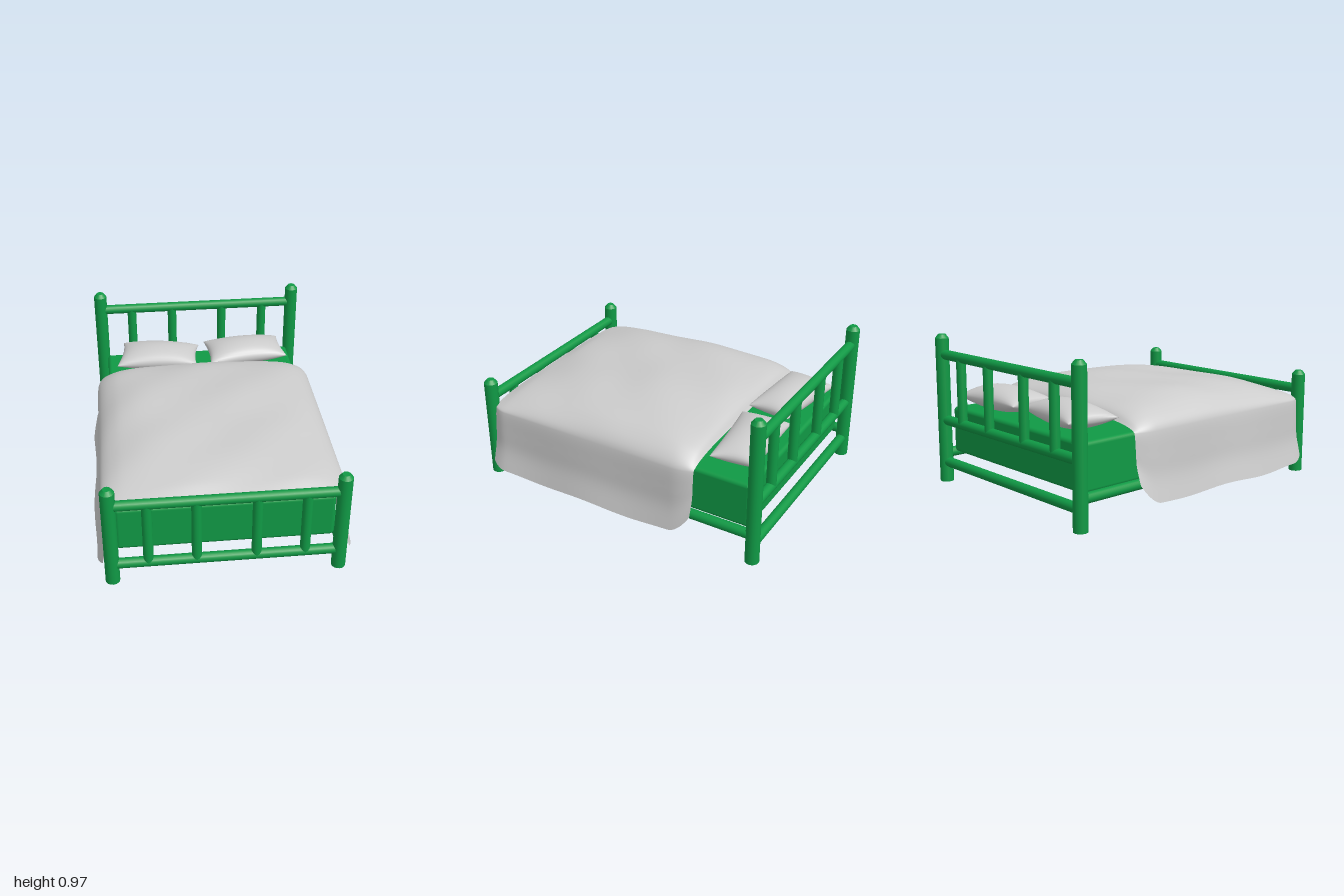
import * as THREE from 'three';
import { mergeVertices } from 'three/addons/utils/BufferGeometryUtils.js';
import { RoundedBoxGeometry } from 'three/addons/geometries/RoundedBoxGeometry.js';

const green = new THREE.MeshStandardMaterial({ color: 0x109945 });
const cloth = new THREE.MeshStandardMaterial({ color: 0xcccccc, side: THREE.DoubleSide });

function add(parent, name, geometry, material) {
  const mesh = new THREE.Mesh(geometry, material);
  mesh.name = name;
  parent.add(mesh);
  return mesh;
}

// Round bar between two points
function bar(parent, name, a, b, radius) {
  const from = new THREE.Vector3(...a), to = new THREE.Vector3(...b);
  const dir = to.clone().sub(from);
  const mesh = add(parent, name, new THREE.CylinderGeometry(radius, radius, dir.length(), 16), green);
  mesh.position.copy(from).add(to).multiplyScalar(0.5);
  mesh.quaternion.setFromUnitVectors(new THREE.Vector3(0, 1, 0), dir.normalize());
}

// Smooth surface from fn(u, v) -> [x, y, z], u and v in 0..1
function surface(nu, nv, fn) {
  const positions = [], index = [];
  for (let i = 0; i <= nu; i++)
    for (let j = 0; j <= nv; j++) positions.push(...fn(i / nu, j / nv));
  for (let i = 0; i < nu; i++)
    for (let j = 0; j < nv; j++) {
      const a = i * (nv + 1) + j, b = a + nv + 1;
      index.push(a, b, a + 1, b, b + 1, a + 1);
    }
  let geo = new THREE.BufferGeometry();
  geo.setAttribute('position', new THREE.Float32BufferAttribute(positions, 3));
  geo.setIndex(index);
  geo = mergeVertices(geo, 1e-4);
  geo.computeVertexNormals();
  return geo;
}

// Upright post with a chamfered top
function post(parent, x, z, height) {
  const r = 0.044;
  const body = add(parent, 'post', new THREE.CylinderGeometry(r, r, height - 0.025, 16), green);
  body.position.set(x, (height - 0.025) / 2, z);
  const cap = add(parent, 'postCap', new THREE.CylinderGeometry(0.024, r, 0.025, 16), green);
  cap.position.set(x, height - 0.0125, z);
}

// Head or foot end: two posts, rails and four spindles
function endFrame(name, z, height, rails, spindleBottom, spindleTop) {
  const group = new THREE.Group();
  group.name = name;
  for (const x of [-0.69, 0.69]) post(group, x, z, height);
  for (const y of rails) bar(group, 'rail', [-0.68, y, z], [0.68, y, z], 0.032);
  for (const x of [-0.47, -0.18, 0.18, 0.475])
    bar(group, 'spindle', [x, spindleBottom, z], [x, spindleTop, z], 0.031);
  return group;
}

// Pillow stretched between four corners: back left, back right, front right, front left
function pillow(corners) {
  const mix = THREE.MathUtils.lerp;
  return surface(24, 32, (u, v) => {
    const s = -Math.cos(u * Math.PI), angle = v * Math.PI * 2;
    const w = Math.cos(angle);
    const p = (s + 1) / 2, q = (w + 1) / 2;
    const [bl, br, fr, fl] = corners;
    const at = k => mix(mix(bl[k], br[k], p), mix(fl[k], fr[k], p), q);
    // edges pull in slightly between the corners
    const x = at(0) - 0.018 * s * (1 - w * w);
    const z = at(1) - 0.012 * w * (1 - s * s);
    const thick = 0.083 * Math.pow(Math.max(0, 1 - s * s), 0.45);
    return [x, 0.58 + thick * Math.sin(angle), z];
  });
}

// Blanket: domed over the mattress, hanging down both sides
function blanket() {
  const vec = ([x, y]) => new THREE.Vector3(x, y, 0);
  // ridge height along the bed: [z, y]
  const ridge = new THREE.CatmullRomCurve3([[-0.56, 0.56], [-0.52, 0.61], [-0.42, 0.65], [-0.25, 0.675],
    [0, 0.685], [0.25, 0.67], [0.45, 0.655], [0.65, 0.63], [0.82, 0.59], [0.92, 0.55]].map(vec));
  // half section: [x, k]; k 1 is the ridge, 0 the shoulder, -1 the hem
  const half = [[0.25, 0.98], [0.45, 0.9], [0.58, 0.74], [0.66, 0.52], [0.715, 0.24],
    [0.738, -0.05], [0.745, -0.35], [0.752, -0.65], [0.785, -1]];
  const section = new THREE.CatmullRomCurve3([
    ...half.map(([x, k]) => [-x, k]).reverse(), [0, 1], ...half].map(vec));
  return surface(48, 80, (u, v) => {
    const r = ridge.getPoint(u), s = section.getPoint(v);
    const head = Math.max(0, 1 - (r.x + 0.56) / 0.14), foot = Math.max(0, 1 - (0.92 - r.x) / 0.1);
    const hem = 0.073 + 0.008 * Math.sin(r.x * 9) + 0.12 * head ** 2 + 0.035 * foot ** 2;
    const down = Math.max(0, -s.y);
    const k = s.y;
    let y = k > 0 ? 0.5 + (r.y - 0.5) * k : 0.5 + (0.5 - hem) * k;
    if (k > 0) y += 0.008 * k * (1 - head) * (1 - foot) * Math.sin(s.x * 9 + r.x * 4) * Math.cos(r.x * 7);
    const pinch = 1 - 0.045 * (head ** 2 + foot ** 2);
    const x = s.x * pinch + Math.sign(s.x) * 0.008 * down * Math.sin(r.x * 7 + s.x);
    return [x, y, r.x + 0.01 * down * foot];
  });
}

export function createModel() {
  const bed = new THREE.Group();
  bed.name = 'bed';

  // Frame
  bed.add(endFrame('footboard', 0.955, 0.69, [0.13, 0.565], 0.13, 0.565));
  bed.add(endFrame('headboard', -0.955, 0.97, [0.13, 0.41, 0.84], 0.41, 0.84));
  for (const x of [-0.69, 0.69]) bar(bed, 'sideRail', [x, 0.187, -0.95], [x, 0.187, 0.95], 0.032);
  for (const z of [-0.48, 0, 0.48]) bar(bed, 'slat', [-0.69, 0.187, z], [0.69, 0.187, z], 0.024);

  // Bedding
  const mattress = add(bed, 'mattress', new RoundedBoxGeometry(1.32, 0.3, 1.82, 3, 0.025), green);
  mattress.position.y = 0.345;
  add(bed, 'blanket', blanket(), cloth);
  add(bed, 'rightPillow', pillow([[-0.54, -0.915], [0, -0.83], [-0.035, -0.545], [-0.595, -0.585]]), cloth);
  add(bed, 'leftPillow', pillow([[0.04, -0.875], [0.585, -0.905], [0.615, -0.615], [0.06, -0.545]]), cloth);

  return bed;
}
